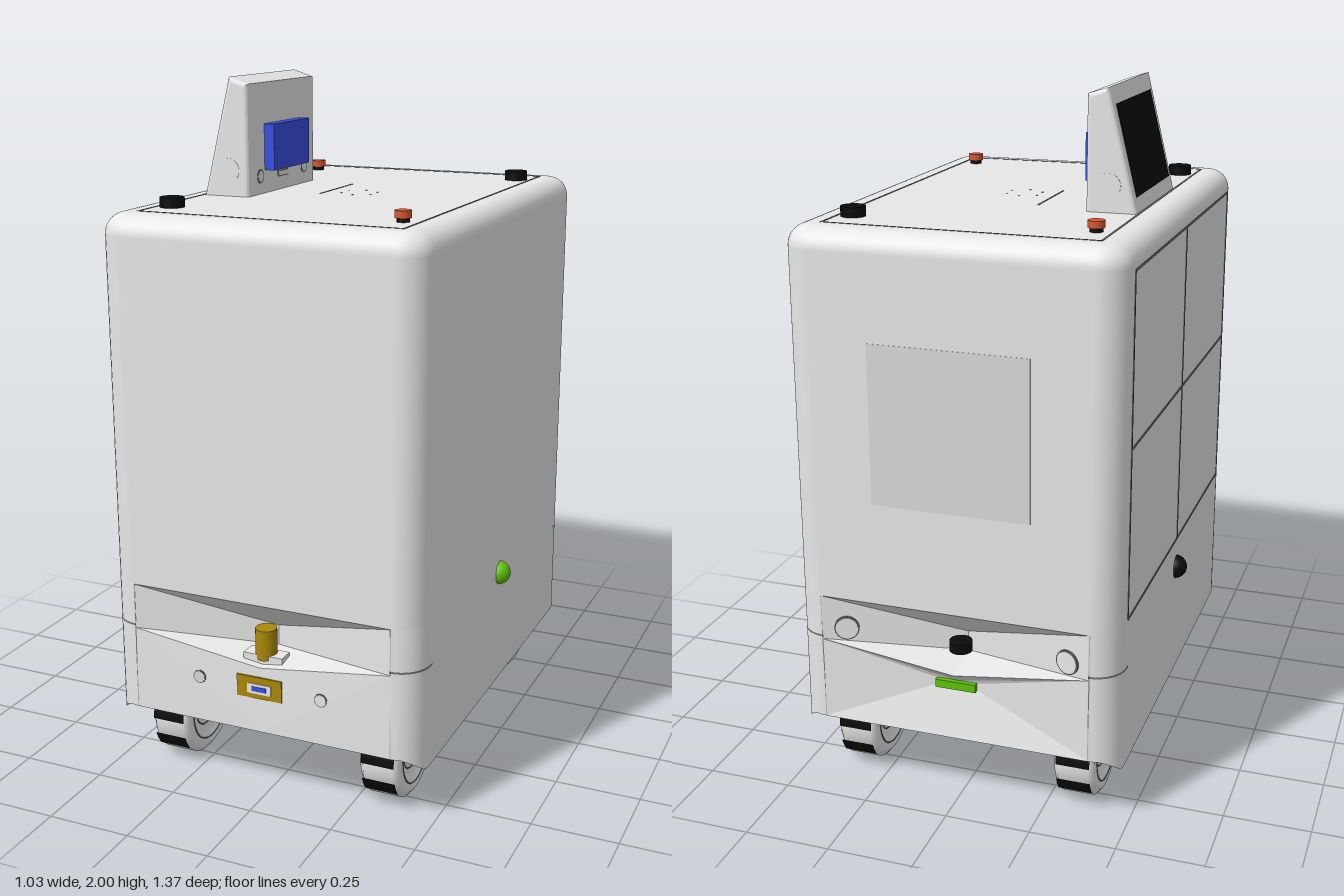
import * as THREE from 'three';

const mat = (name, color, side = THREE.FrontSide) => {
  const m = new THREE.MeshStandardMaterial({ color, side });
  m.name = name;
  return m;
};
const V = (x, y, z) => new THREE.Vector3(x, y, z);

// Quarter arcs of a rounded rectangle in plan, as [x, z], from the end to the side
function corner(hx, hz, r, sx, sz, n = 8) {
  const pts = [];
  for (let i = 0; i <= n; i++) {
    const a = (i / n) * Math.PI / 2;
    pts.push([sx * (hx - r + r * Math.sin(a)), sz * (hz - r + r * Math.cos(a))]);
  }
  return pts;
}
function planLoop(inset) {
  const hx = 0.48 - inset, hz = 0.68 - inset, r = 0.085 - inset;
  return [
    ...corner(hx, hz, r, 1, 1), ...corner(hx, hz, r, 1, -1).reverse(),
    ...corner(hx, hz, r, -1, -1), ...corner(hx, hz, r, -1, 1).reverse(),
  ];
}

// Skin through rings of equal point count
function loft(rings, closed) {
  const n = rings[0].length, index = [];
  for (let j = 0; j < rings.length - 1; j++) {
    for (let i = 0; i < (closed ? n : n - 1); i++) {
      const a = j * n + i, b = j * n + (i + 1) % n;
      index.push(a, b, b + n, a, b + n, a + n);
    }
  }
  const g = new THREE.BufferGeometry().setFromPoints(rings.flat());
  g.setIndex(index);
  g.computeVertexNormals();
  return g;
}

// Flat polygons (fan triangulated), each also mirrored across x = 0
function facets(polys, sz) {
  const pts = [];
  for (const s of [1, -1]) for (const p of polys) {
    for (let i = 1; i < p.length - 1; i++) {
      for (const q of [p[0], p[i], p[i + 1]]) pts.push(V(q[0] * s, q[1], q[2] * sz));
    }
  }
  const g = new THREE.BufferGeometry().setFromPoints(pts);
  g.computeVertexNormals();
  return g;
}

export function createModel() {
  const root = new THREE.Group();
  const shell = mat('shell grey', 0xe8e8e8, THREE.DoubleSide);
  const panelGrey = mat('panel grey', 0xdadada);
  const seam = mat('seam grey', 0x747474, THREE.DoubleSide);
  const black = mat('black', 0x0c0c0c);
  const blue = mat('blue', 0x384fe0);
  const orange = mat('orange', 0xd65831);
  const green = mat('green', 0x5fc208);
  const yellow = mat('yellow', 0xa98808);
  const white = mat('white', 0xfafafa);

  const add = (name, geo, m, x = 0, y = 0, z = 0, parent = root) => {
    const mesh = new THREE.Mesh(geo, m);
    mesh.name = name;
    mesh.position.set(x, y, z);
    parent.add(mesh);
    return mesh;
  };
  const box = (name, w, h, d, m, x, y, z, parent) =>
    add(name, new THREE.BoxGeometry(w, h, d), m, x, y, z, parent);
  const cyl = (name, r, h, axis, m, x, y, z, parent, r2 = r) => {
    const g = new THREE.CylinderGeometry(r2, r, h, 28);
    if (axis === 'x') g.rotateZ(-Math.PI / 2);
    if (axis === 'z') g.rotateX(Math.PI / 2);
    return add(name, g, m, x, y, z, parent);
  };

  // Upper cabinet with rounded corners and a rounded top rim
  const R = 0.06, levels = [[0.6, 0]];
  for (let i = 0; i <= 8; i++) {
    const a = (i / 8) * Math.PI / 2;
    levels.push([1.6 + R * Math.sin(a), R * (1 - Math.cos(a))]);
  }
  add('cabinet', loft(levels.map(([y, k]) => planLoop(k).map(([x, z]) => V(x, y, z))), true), shell);
  const lid = new THREE.ShapeGeometry(new THREE.Shape(planLoop(R).map(([x, z]) => new THREE.Vector2(x, -z))));
  lid.rotateX(-Math.PI / 2);
  add('topPlate', lid, shell, 0, 1.66, 0);

  // Lower side skirts, wrapping round the corners
  for (const s of [1, -1]) {
    const path = [[0.4, 0.68], ...corner(0.48, 0.68, 0.085, 1, 1),
      ...corner(0.48, 0.68, 0.085, 1, -1).reverse(), [0.4, -0.68]];
    // Bottom edge is lower along the sides than at the ends
    const low = z => 0.17 + 0.045 * THREE.MathUtils.clamp((Math.abs(z) - 0.62) / 0.055, 0, 1);
    const side = y => path.map(([x, z]) => V(x * s, y ?? low(z), z));
    add('sideSkirt', loft([side(null), side(0.6)], false), shell);
    // Seams round the corners between cabinet and skirt
    for (const e of [1, -1]) {
      const line = [[0.4 * s, 0.681 * e], ...corner(0.481, 0.681, 0.086, s, e), [0.481 * s, 0.58 * e]];
      add('cornerSeam', loft([0.472, 0.478].map(y => line.map(([x, z]) => V(x, y, z))), false), seam);
    }
  }

  // Faceted sensor notch shared by both ends
  const A = [0.4, 0.6, 0.68], A0 = [0, 0.6, 0.68], C = [0, 0.49, 0.55];
  const D = [0, 0.43, 0.55], E = [0.4, 0.465, 0.68], G = [0, 0.41, 0.675];
  const notch = [[A0, A, C], [A, E, D, C], [E, G, D]];
  const H = [0.4, 0.215, 0.68], H0 = [0, 0.215, 0.68];
  add('frontFascia', facets([...notch, [E, H, H0, G]], 1), shell);
  // Rear fascia pinches in to a light strip
  const S = [0.06, 0.38, 0.645], S0 = [0, 0.38, 0.645], T = [0.06, 0.36, 0.645], T0 = [0, 0.36, 0.645];
  add('rearFascia', facets([...notch, [E, G, S0, S], [E, S, T, H], [H, T, T0, H0], [S0, S, T, T0]], -1), shell);

  // Underside: inner ceiling, front equipment shelf and the back of the camera
  box('innerCeiling', 0.94, 0.01, 1.06, shell, 0, 0.575, 0);
  box('frontShelf', 0.88, 0.01, 0.2, shell, 0, 0.42, 0.51);
  box('shelfMotor', 0.14, 0.03, 0.08, black, 0, 0.405, 0.46);
  box('cameraBack', 0.11, 0.05, 0.05, blue, 0, 0.365, 0.635);
  box('cameraBackRim', 0.12, 0.014, 0.055, orange, 0, 0.397, 0.635);

  // Front sensors
  cyl('frontScanner', 0.031, 0.09, 'y', yellow, 0, 0.47, 0.63);
  box('scannerBase', 0.12, 0.03, 0.05, white, 0, 0.425, 0.63);
  box('frontCameraHousing', 0.14, 0.065, 0.04, yellow, 0, 0.35, 0.661);
  box('frontCameraWindow', 0.075, 0.03, 0.002, white, 0, 0.347, 0.6815);
  box('frontCameraLens', 0.045, 0.014, 0.002, blue, 0, 0.347, 0.683);
  for (const s of [1, -1]) {
    cyl('frontButtonRim', 0.02, 0.004, 'z', seam, s * 0.19, 0.35, 0.679);
    cyl('frontButton', 0.017, 0.004, 'z', s < 0 ? panelGrey : white, s * 0.19, 0.35, 0.68);
    // Rear round lamps, lying on the notch facets
    const lamp = new THREE.Group();
    lamp.name = 'rearLamp';
    lamp.position.set(s * 0.33, 0.5, -0.659);
    lamp.rotation.y = s * 0.314;
    root.add(lamp);
    cyl('rearLampRim', 0.036, 0.006, 'z', seam, 0, 0, 0, lamp);
    cyl('rearLampLens', 0.032, 0.01, 'z', shell, 0, 0, 0, lamp);
  }

  // Rear sensor, light strip and display panel
  cyl('rearScanner', 0.033, 0.03, 'y', black, 0, 0.475, -0.61);
  box('rearLightStrip', 0.12, 0.024, 0.02, green, 0, 0.37, -0.65);
  box('rearPanel', 0.46, 0.46, 0.002, panelGrey, 0, 1.13, -0.68);

  // Side buttons
  const ball = new THREE.SphereGeometry(0.036, 24, 16);
  add('greenSideButton', ball, green, 0.478, 0.525, 0);
  add('blackSideButton', ball, black, -0.478, 0.525, 0);

  // Compartment doors on the -x side, outlined by grooves
  for (const y of [0.62, 1.11, 1.59]) box('doorGrooveAcross', 0.003, 0.007, 1.18, seam, -0.48, y, 0);
  for (const z of [-0.59, 0, 0.59]) box('doorGrooveUpright', 0.003, 0.97, 0.007, seam, -0.48, 1.105, z);

  // Lid outline on top
  for (const s of [1, -1]) {
    box('lidGrooveLong', 0.006, 0.002, 1.18, seam, s * 0.39, 1.66, 0);
    box('lidGrooveShort', 0.786, 0.002, 0.006, seam, 0, 1.66, s * 0.59);
  }
  box('topSlot', 0.005, 0.002, 0.245, seam, -0.085, 1.66, -0.05);
  for (let i = 0; i < 6; i++) {
    const a = (i / 6) * Math.PI * 2 + Math.PI / 6;
    cyl('speakerHole', 0.003, 0.002, 'y', seam, 0.013 + 0.054 * Math.cos(a), 1.66, 0.054 * Math.sin(a));
  }

  // Top knobs: two black, two orange, on opposite corners
  for (const s of [1, -1]) {
    cyl('blackKnob', 0.035, 0.03, 'y', black, s * 0.345, 1.673, -s * 0.483);
    cyl('orangeKnobStem', 0.018, 0.014, 'y', black, s * 0.345, 1.666, s * 0.483);
    cyl('orangeKnob', 0.023, 0.02, 'y', orange, s * 0.345, 1.681, s * 0.483);
  }

  // Slanted console: side profile extruded along z with softened edges
  const console_ = new THREE.Group();
  console_.name = 'console';
  root.add(console_);
  const b = 0.012;
  const profile = new THREE.Shape([[-0.375, 1.66], [-0.252, 1.66], [-0.252, 1.973], [-0.293, 1.986]]
    .map(([x, y]) => new THREE.Vector2(x, y)));
  const body = new THREE.ExtrudeGeometry(profile, {
    depth: 0.45 - 2 * b, bevelSize: b, bevelThickness: b, bevelSegments: 3,
  });
  add('consoleBody', body, shell, 0, 0, -0.225 + b, console_);
  const screen = box('consoleScreen', 0.004, 0.26, 0.38, black, -0.3445, 1.827, 0, console_);
  screen.rotation.z = -Math.atan2(0.082, 0.326);
  box('consoleCardReader', 0.032, 0.135, 0.24, blue, -0.224, 1.795, 0, console_);
  box('consoleSlot', 0.002, 0.02, 0.07, seam, -0.24, 1.708, 0, console_);
  box('consoleSlotFace', 0.003, 0.012, 0.062, shell, -0.24, 1.708, 0, console_);
  for (const s of [1, -1]) {
    cyl('consoleKnobRim', 0.021, 0.002, 'x', seam, -0.24, 1.712, s * 0.148, console_);
    cyl('consoleKnob', 0.016, 0.003, 'x', shell, -0.24, 1.712, s * 0.148, console_);
    cyl('consoleHinge', 0.035, 0.003, 'z', shell, -0.305, 1.735, s * 0.2245, console_);
  }

  // Wheels: lathe tyre with recessed hub, black tread pads, axle and bracket
  const tyre = new THREE.LatheGeometry([
    [0.001, -0.055], [0.04, -0.055], [0.045, -0.045], [0.09, -0.045], [0.1, -0.06], [0.128, -0.06], [0.147, -0.045],
    [0.147, 0.045], [0.128, 0.06], [0.1, 0.06], [0.09, 0.045], [0.045, 0.045], [0.04, 0.055], [0.001, 0.055],
  ].map(([r, y]) => new THREE.Vector2(r, y)), 40);
  tyre.rotateZ(Math.PI / 2);
  const pads = 9;
  for (const sx of [1, -1]) for (const sz of [1, -1]) {
    const w = new THREE.Group();
    w.name = 'wheel';
    w.position.set(sx * 0.335, 0.15, sz * 0.47);
    root.add(w);
    add('tyre', tyre, shell, 0, 0, 0, w);
    for (let i = 0; i < pads; i++) {
      const pad = new THREE.CylinderGeometry(0.15, 0.15, 0.1, 6, 1, true, (i / pads) * Math.PI * 2, Math.PI / pads);
      pad.rotateZ(Math.PI / 2);
      add('treadPad', pad, black, 0, 0, 0, w);
    }
    for (const f of [1, -1]) for (const r of [0.065, 0.105]) {
      const ring = new THREE.TorusGeometry(r, 0.002, 6, 36);
      ring.rotateY(Math.PI / 2);
      add('hubRing', ring, seam, f * (r < 0.1 ? 0.045 : 0.06), 0, 0, w);
    }
    cyl('hubCap', 0.028, 0.14, 'x', shell, 0, 0, 0, w);
    cyl('axle', 0.013, 0.16, 'x', shell, -sx * 0.08, 0.01, 0, w);
    cyl('axleFlange', 0.032, 0.014, 'x', shell, -sx * 0.12, 0.01, 0, w);
    box('wheelBracket', 0.012, 0.27, 0.06, shell, -sx * 0.085, 0.135, 0, w);
  }
  return root;
}
